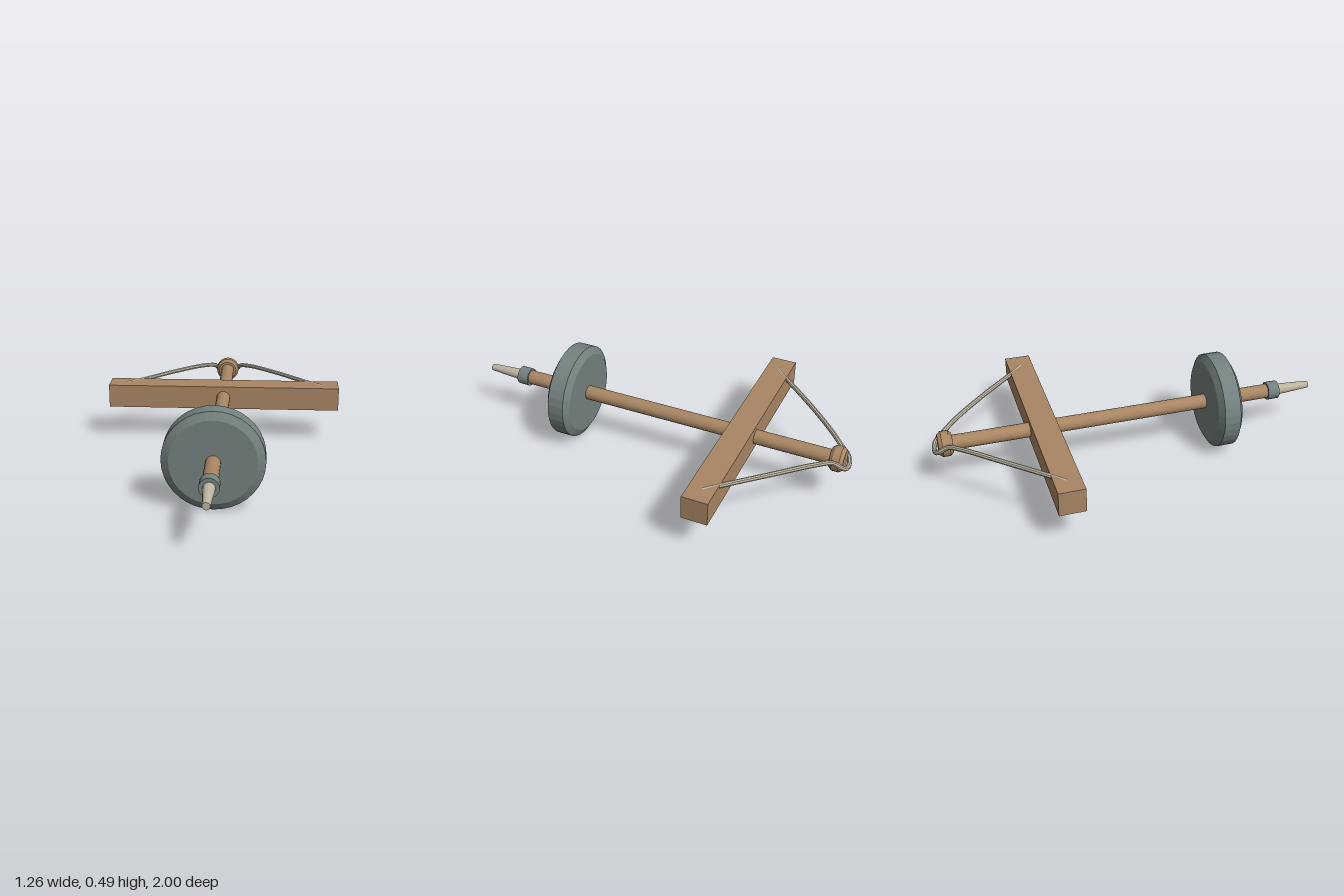
import * as THREE from 'three';

const AXIS_Y = 0.248;

export function createModel() {
  const model = new THREE.Group();
  const mat = (name, color) => {
    const m = new THREE.MeshStandardMaterial({ color });
    m.name = name;
    return m;
  };
  const wood = mat('wood', 0xa98663);
  const stone = mat('stone', 0x74827f);
  const bone = mat('bone', 0xbdb5a0);
  wood.flatShading = stone.flatShading = bone.flatShading = true;

  const add = (name, geometry, material) => {
    const mesh = new THREE.Mesh(geometry, material);
    mesh.name = name;
    model.add(mesh);
    return mesh;
  };

  // Round part along z from [radius, z] points, listed back to front
  const turned = (name, points, sides, material) => {
    const geo = new THREE.LatheGeometry(points.map(([r, z]) => new THREE.Vector2(r, z)), sides);
    geo.rotateX(Math.PI / 2);
    add(name, geo, material).position.y = AXIS_Y;
  };

  turned('shaft', [[0, -0.93], [0.037, -0.93], [0.037, 0.77], [0, 0.77]], 20, wood);
  turned('flywheel', [[0, 0.413], [0.207, 0.413], [0.244, 0.435], [0.244, 0.519], [0.207, 0.541], [0, 0.541]], 36, stone);
  turned('collar', [[0, 0.76], [0.047, 0.76], [0.047, 0.82], [0, 0.82]], 20, stone);
  turned('drillTip', [[0, 0.81], [0.03, 0.81], [0.018, 1], [0, 1]], 12, bone);
  turned('endKnob', [[0, -0.968], [0.05, -0.968], [0.064, -0.95], [0.064, -0.915], [0.05, -0.898], [0, -0.898]], 20, wood);

  // Crossbar handle
  add('crossbar', new THREE.BoxGeometry(1.26, 0.125, 0.13), wood).position.set(0, 0.248, -0.45);

  // Cord from both arms of the crossbar around the back of the knob
  const half = [
    [0.54, 0.302, -0.45],
    [0.47, 0.3, -0.52],
    [0.3, 0.297, -0.7],
    [0.14, 0.288, -0.86],
    [0.075, 0.272, -0.925],
    [0.05, 0.235, -0.975],
  ];
  const path = [
    ...half.map(([x, y, z]) => new THREE.Vector3(-x, y, z)),
    new THREE.Vector3(0, 0.218, -0.987),
    ...half.reverse().map(([x, y, z]) => new THREE.Vector3(x, y, z)),
  ];
  const curve = new THREE.CatmullRomCurve3(path, false, 'centripetal');
  add('cord', new THREE.TubeGeometry(curve, 64, 0.012, 8, false), bone);

  return model;
}
